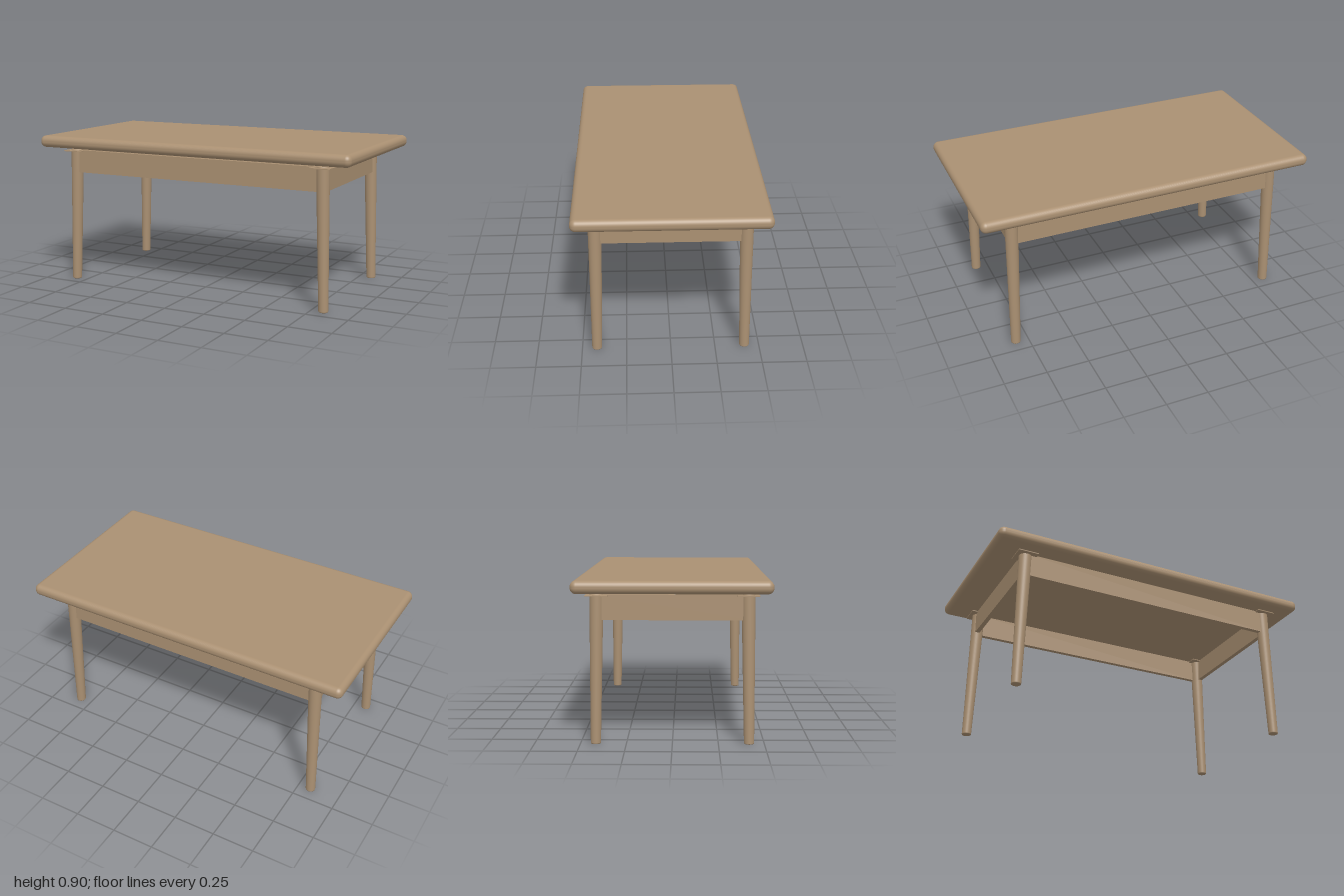
import * as THREE from 'three';
import { RoundedBoxGeometry } from 'three/addons/geometries/RoundedBoxGeometry.js';

export function createModel() {
  const table = new THREE.Group();
  table.name = 'table';
  const wood = new THREE.MeshStandardMaterial({ color: 0xaa9072 });
  wood.name = 'wood';

  const add = (name, geometry, x = 0, y = 0, z = 0) => {
    const mesh = new THREE.Mesh(geometry, wood);
    mesh.name = name;
    mesh.position.set(x, y, z);
    table.add(mesh);
    return mesh;
  };

  // Rounded slab
  add('tabletop', new RoundedBoxGeometry(2, 0.07, 1.06, 6, 0.032), 0, 0.865, 0);

  // Apron frame: one rectangular ring whose corners sit inside the legs
  const ox = 0.827, oz = 0.431, thick = 0.027;
  const rect = (Type, x, z) => {
    const path = new Type();
    path.moveTo(-x, -z);
    path.lineTo(x, -z);
    path.lineTo(x, z);
    path.lineTo(-x, z);
    path.closePath();
    return path;
  };
  const ring = rect(THREE.Shape, ox, oz);
  ring.holes.push(rect(THREE.Path, ox - thick, oz - thick));
  const apron = new THREE.ExtrudeGeometry(ring, { depth: 0.137, bevelEnabled: false });
  apron.rotateX(-Math.PI / 2);
  add('apron', apron, 0, 0.676, 0);

  // Tapered legs with softened ends, leaning outwards towards the floor
  const height = 0.817;
  const profile = [
    [0, 0], [0.024, 0], [0.027, 0.002], [0.028, 0.006],
    [0.038, height - 0.008], [0.036, height - 0.002], [0.031, height], [0, height],
  ].map(([r, y]) => new THREE.Vector2(r, y));

  for (const sx of [1, -1]) {
    for (const sz of [1, -1]) {
      const leg = new THREE.LatheGeometry(profile, 32);
      const lean = new THREE.Matrix4().set(
        1, -sx * 0.022 / height, 0, 0,
        0, 1, 0, 0,
        0, -sz * 0.01 / height, 1, 0,
        0, 0, 0, 1,
      );
      leg.applyMatrix4(lean);
      add('leg', leg, sx * 0.825, 0, sz * 0.417);

      // Thin square mounting plate at the head of the leg
      add('mountingPlate', new THREE.BoxGeometry(0.12, 0.005, 0.122), sx * 0.803, 0.808, sz * 0.406);
    }
  }
  return table;
}
